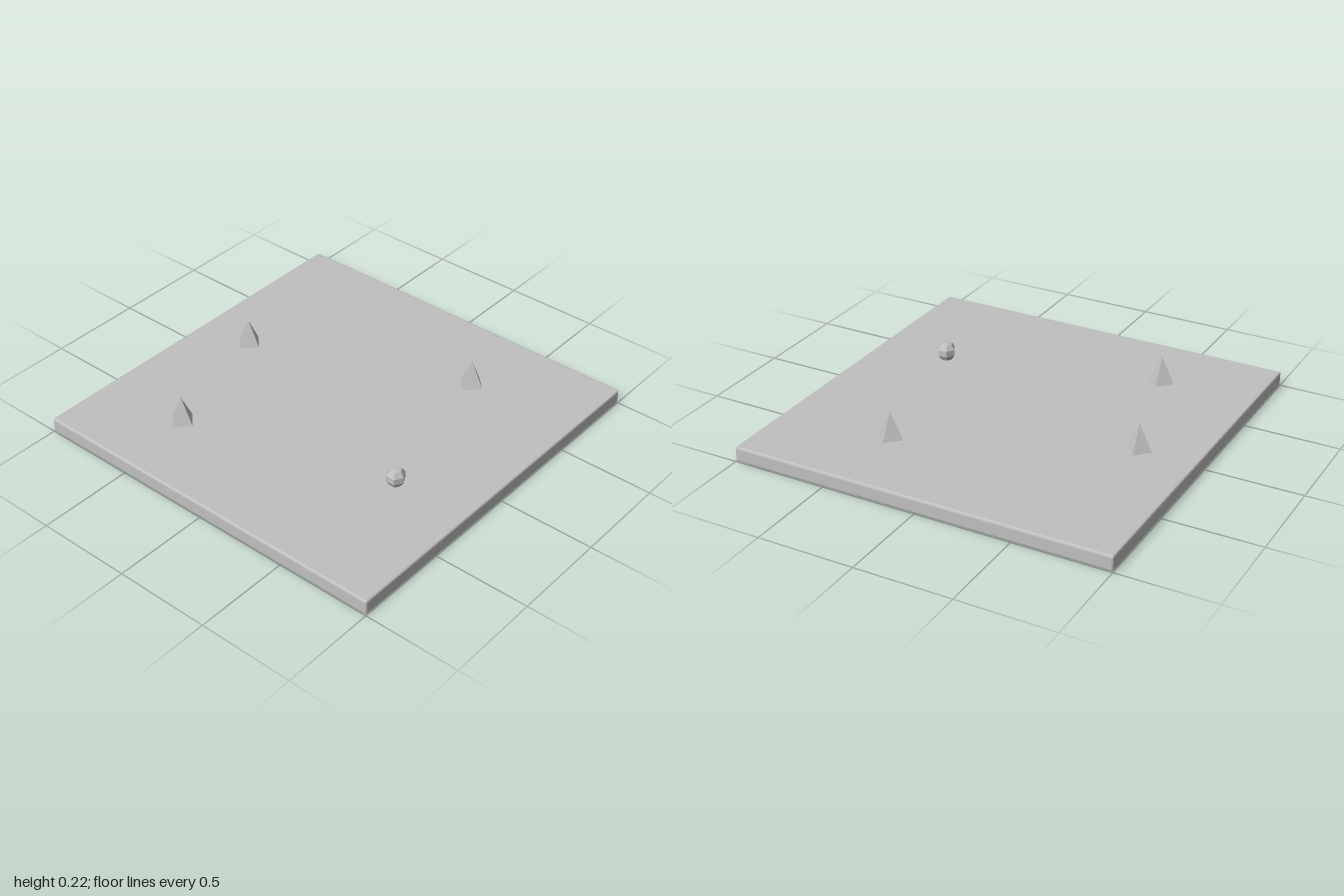
import * as THREE from 'three';
import { RoundedBoxGeometry } from 'three/addons/geometries/RoundedBoxGeometry.js';

const SLAB_HEIGHT = 0.08;

export function createModel() {
  const model = new THREE.Group();
  model.name = 'spikedBoard';
  const grey = new THREE.MeshStandardMaterial({ color: 0xc0c0c0, flatShading: true });
  grey.name = 'plain grey';

  const add = (name, geometry, x, y, z) => {
    const mesh = new THREE.Mesh(geometry, grey);
    mesh.name = name;
    mesh.position.set(x, y, z);
    model.add(mesh);
  };

  // Square slab with a narrow chamfer on every edge
  add('slab', new RoundedBoxGeometry(2, SLAB_HEIGHT, 2, 1, 0.01), 0, SLAB_HEIGHT / 2, 0);

  // Four-sided spikes, corners pointing along the axes
  const spike = new THREE.ConeGeometry(0.07, 0.14, 4);
  [[-0.6, -0.5], [0.1, -0.7], [0.56, 0.4]].forEach(([x, z], i) =>
    add(`spike${i + 1}`, spike, x, SLAB_HEIGHT + 0.07, z));

  // Faceted six-sided pebble
  const profile = [[0, -0.047], [0.031, -0.043], [0.049, -0.016], [0.049, 0.016], [0.031, 0.043], [0, 0.047]]
    .map(([r, y]) => new THREE.Vector2(r, y));
  add('pebble', new THREE.LatheGeometry(profile, 6), -0.3, SLAB_HEIGHT + 0.046, 0.6);

  return model;
}
